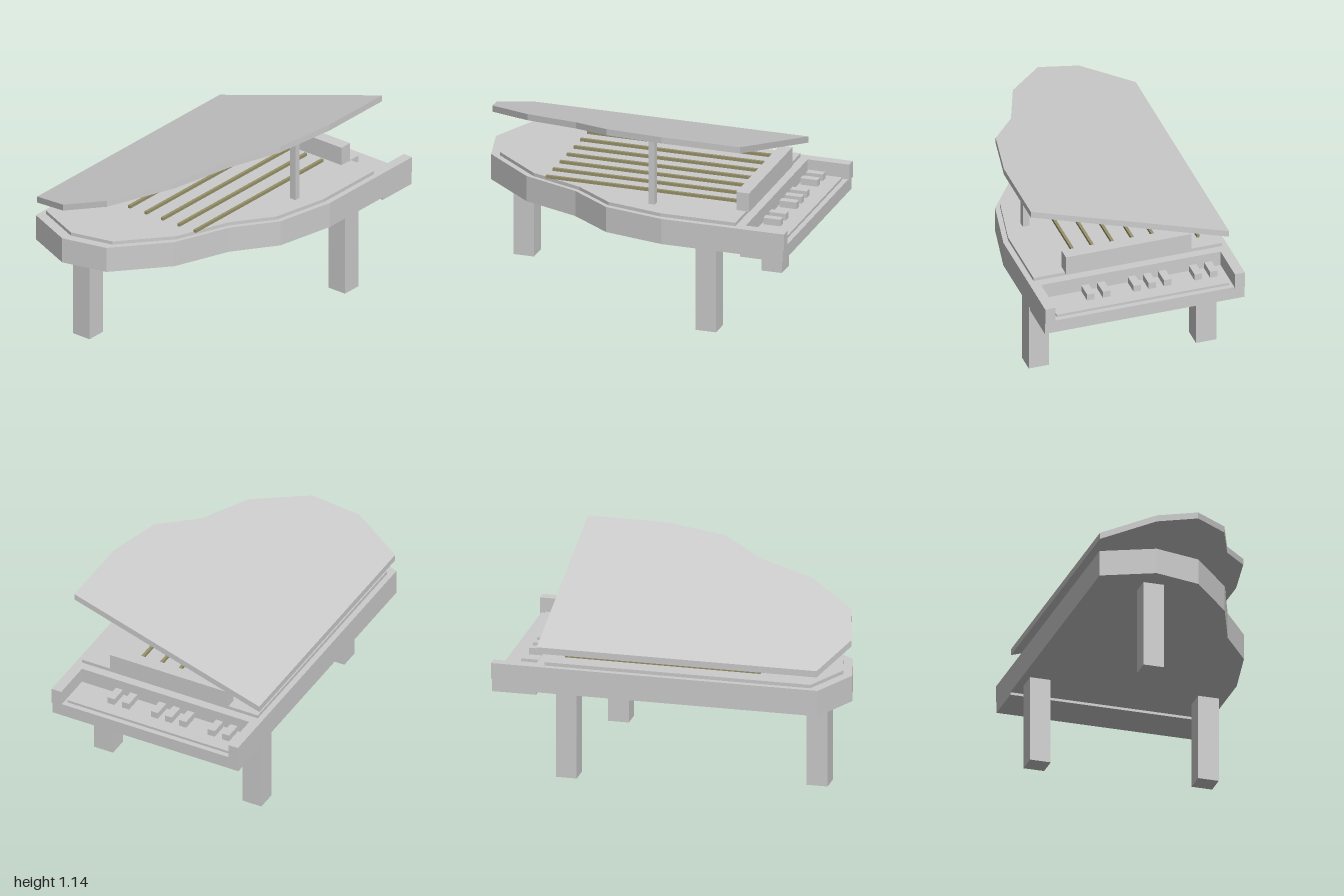
import * as THREE from 'three';

// Plan of the case as [x, z], keyboard side at -z
const PLAN = [
  [-0.587, -0.745], [-0.587, 0.87], [-0.295, 0.997], [-0.03, 0.933], [0.218, 0.64],
  [0.342, 0.31], [0.514, 0.07], [0.585, -0.28], [0.585, -0.745],
];

// Upright slab with the case plan, scaled about the origin
function planSlab(scale, y0, y1) {
  const shape = new THREE.Shape(PLAN.map(([x, z]) => new THREE.Vector2(x * scale, -z * scale)));
  const geo = new THREE.ExtrudeGeometry(shape, { depth: y1 - y0, bevelEnabled: false });
  return geo.rotateX(-Math.PI / 2).translate(0, y0, 0);
}

export function createModel() {
  const group = new THREE.Group();
  const casing = new THREE.MeshStandardMaterial({ color: 0xcccccc, flatShading: true });
  casing.name = 'light grey';
  const wire = new THREE.MeshStandardMaterial({ color: 0x98926a, flatShading: true });
  wire.name = 'olive brass';

  const add = (name, geo, mat = casing) => {
    const mesh = new THREE.Mesh(geo, mat);
    mesh.name = name;
    group.add(mesh);
  };
  // Box given by its limits on each axis
  const box = (name, x0, x1, y0, y1, z0, z1, mat) => add(name,
    new THREE.BoxGeometry(x1 - x0, y1 - y0, z1 - z0)
      .translate((x0 + x1) / 2, (y0 + y1) / 2, (z0 + z1) / 2), mat);

  // Case and the raised soundboard on it
  add('case', planSlab(1, 0.505, 0.655));
  add('soundboard', planSlab(0.944, 0.65, 0.675));

  // Lid, sheared so that it rises towards +x
  const lid = planSlab(0.993, 0, 0.037);
  const pos = lid.attributes.position;
  for (let i = 0; i < pos.count; i++) {
    pos.setY(i, pos.getY(i) + 0.919 + 0.32 * pos.getX(i));
  }
  lid.computeVertexNormals();
  add('lid', lid);
  box('lidProp', 0.4, 0.44, 0.67, 1.052, -0.19, -0.153);

  // Keyboard: bed, cheeks, fallboard, white key plate and raised keys
  box('keyBed', -0.587, 0.585, 0.49, 0.566, -0.993, -0.742);
  box('rightCheek', -0.587, -0.528, 0.56, 0.655, -1, -0.744);
  box('leftCheek', 0.525, 0.585, 0.56, 0.655, -1, -0.744);
  box('fallboard', -0.53, 0.527, 0.56, 0.655, -0.755, -0.744);
  box('keyPlate', -0.51, 0.505, 0.56, 0.581, -0.963, -0.777);
  for (const x of [-0.445, -0.355, -0.175, -0.085, 0.003, 0.184, 0.276]) {
    box('raisedKey', x - 0.022, x + 0.022, 0.575, 0.62, -0.88, -0.78);
  }

  // Music desk
  box('musicDesk', -0.37, 0.368, 0.67, 0.783, -0.72, -0.645);

  // Strings
  for (let i = 0; i < 7; i++) {
    const x = -0.446 + i * 0.1175;
    box('string', x - 0.008, x + 0.008, 0.677, 0.694, -0.61, 0.51, wire);
  }

  // Legs
  for (const [x, z] of [[-0.483, -0.58], [0.48, -0.525], [-0.268, 0.803]]) {
    box('leg', x - 0.06, x + 0.06, 0, 0.51, z - 0.06, z + 0.06);
  }
  return group;
}
